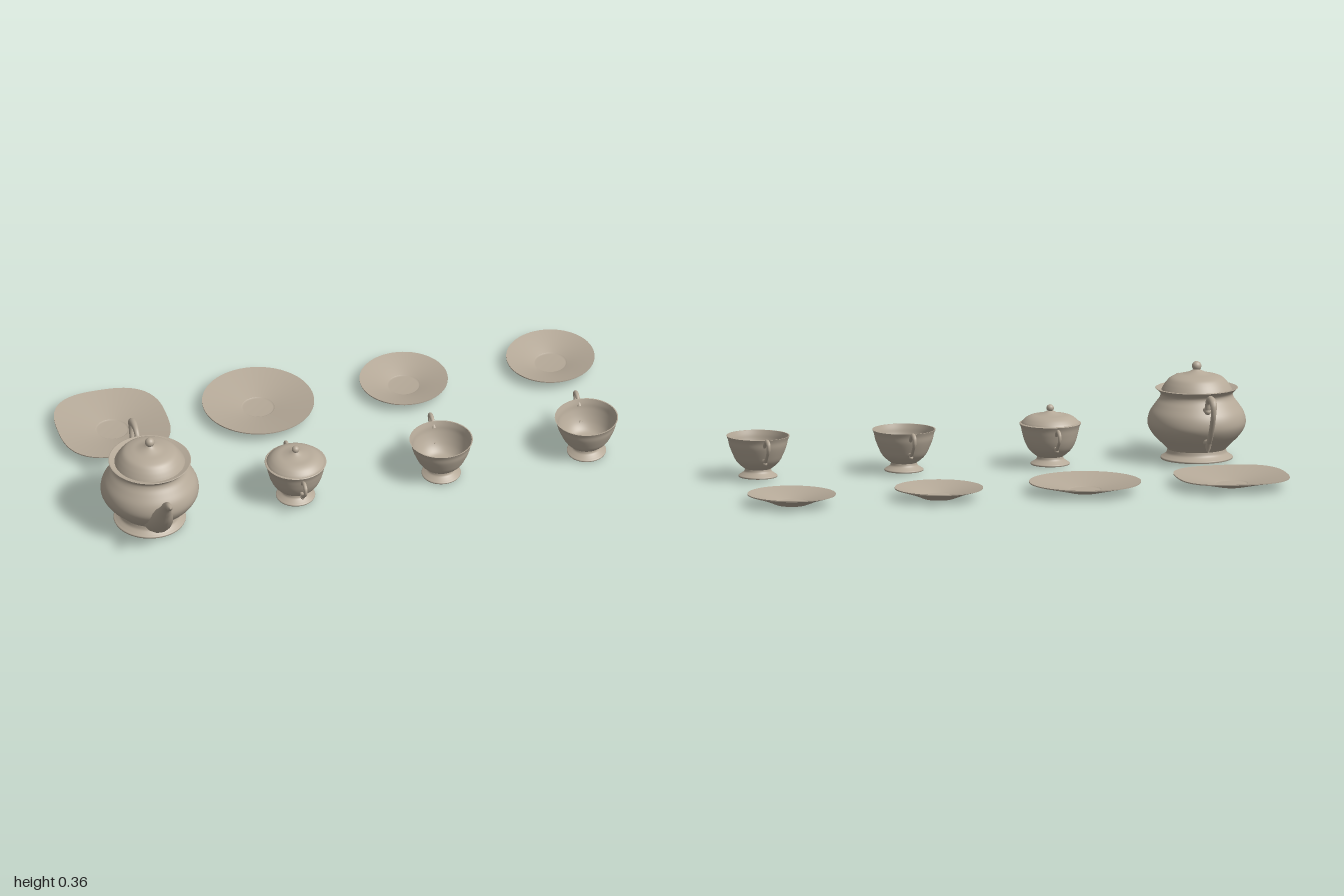
import * as THREE from 'three';

const V2 = (p) => new THREE.Vector2(p[0], p[1]);

export function createModel() {
  const root = new THREE.Group();
  const china = new THREE.MeshStandardMaterial({ color: 0xb5a998 });
  china.name = 'warm grey china';

  const add = (parent, name, geometry, x = 0, y = 0, z = 0) => {
    const mesh = new THREE.Mesh(geometry, china);
    mesh.name = name;
    mesh.position.set(x, y, z);
    parent.add(mesh);
    return mesh;
  };
  const group = (name, x, z) => {
    const g = new THREE.Group();
    g.name = name;
    g.position.set(x, 0, z);
    root.add(g);
    return g;
  };

  // Turned surface; a curved profile is smoothed through its points
  const turn = (points, curved = true) => {
    const list = points.map(V2);
    const profile = curved ? new THREE.SplineCurve(list).getPoints(points.length * 4) : list;
    profile.forEach((p) => { p.x = Math.max(p.x, 0); });
    return new THREE.LatheGeometry(profile, 56);
  };

  // Tapered tube in the z-y plane; each point is [z, y, radius]
  const sweep = (points, squash = 1, steps = 40, sides = 14) => {
    const path = new THREE.CatmullRomCurve3(points.map(([z, y]) => new THREE.Vector3(0, y, z)));
    const radii = new THREE.SplineCurve(points.map((p, i) => new THREE.Vector2(i, p[2])));
    const geo = new THREE.TubeGeometry(path, steps, 1, sides);
    const pos = geo.attributes.position;
    const v = new THREE.Vector3();
    for (let i = 0; i <= steps; i++) {
      const c = path.getPointAt(i / steps);
      const r = radii.getPoint(path.getUtoTmapping(i / steps)).y;
      for (let j = 0; j <= sides; j++) {
        const k = i * (sides + 1) + j;
        v.fromBufferAttribute(pos, k).sub(c).multiplyScalar(Math.max(r, 0.0005));
        v.x *= squash;
        v.add(c);
        pos.setXYZ(k, v.x, v.y, v.z);
      }
    }
    return geo;
  };
  const ball = (r) => new THREE.SphereGeometry(r, 20, 14);

  // Flat plates: centre disc, sloping wall and thin rim
  const plate = (name, x, r, power = 2) => {
    const g = group(name, x, -0.325);
    const sections = {
      base: [[0, 0], [0.056, 0]],
      underside: [[0.056, 0], [r * 0.65, 0.019], [r, 0.036]],
      rim: [[r, 0.036], [r, 0.04]],
      top: [[r, 0.04], [r * 0.65, 0.025], [0.06, 0.01]],
      well: [[0.06, 0.01], [0.054, 0.007], [0, 0.007]],
    };
    for (const [part, points] of Object.entries(sections)) {
      const geo = turn(points, false);
      if (power !== 2) {
        // Bend the outer circle towards a rounded square
        const pos = geo.attributes.position;
        for (let i = 0; i < pos.count; i++) {
          const px = pos.getX(i), pz = pos.getZ(i), d = Math.hypot(px, pz);
          if (d < 0.061) continue;
          const c = Math.abs(px / d), s = Math.abs(pz / d);
          const k = Math.pow(c ** power + s ** power, -1 / power);
          const f = 1 + (k - 1) * (d - 0.06) / (r - 0.06);
          pos.setXYZ(i, px * f, pos.getY(i), pz * f);
        }
      }
      add(g, part, geo);
    }
  };
  plate('squarePlate', -0.797, 0.203, 2.8);
  plate('roundPlate', -0.252, 0.203);
  plate('saucer', 0.292, 0.16);
  plate('saucer', 0.84, 0.16);

  // Teapot
  const pot = group('teapot', -0.797, 0.222);
  add(pot, 'potBase', turn([[0, 0.006], [0.13, 0.006]], false));
  add(pot, 'potFoot', turn([[0.13, 0.006], [0.131, 0.012], [0.122, 0.018], [0.11, 0.028], [0.106, 0.042]]));
  add(pot, 'potBody', turn([[0.106, 0.042], [0.125, 0.062], [0.155, 0.092], [0.174, 0.122], [0.178, 0.148],
    [0.17, 0.178], [0.15, 0.208], [0.134, 0.23], [0.132, 0.247], [0.15, 0.265]]));
  add(pot, 'potCollar', turn([[0.15, 0.265], [0.146, 0.267], [0.13, 0.259], [0.112, 0.258]], false));
  add(pot, 'potLid', turn([[0.128, 0.259], [0.122, 0.27], [0.111, 0.286], [0.095, 0.302], [0.072, 0.311],
    [0.045, 0.317], [0.022, 0.326], [0.01, 0.334]]));
  add(pot, 'potKnob', ball(0.0175), 0, 0.344, 0);
  add(pot, 'potSpout', sweep([[0.06, 0.075, 0.058], [0.12, 0.095, 0.06], [0.165, 0.122, 0.048],
    [0.2, 0.155, 0.034], [0.226, 0.195, 0.024], [0.25, 0.232, 0.018], [0.275, 0.252, 0.013],
    [0.297, 0.257, 0.01], [0.302, 0.258, 0.001]], 0.95));
  add(pot, 'potHandle', sweep([[-0.14, 0.205, 0.012], [-0.172, 0.212, 0.011], [-0.18, 0.24, 0.01],
    [-0.2, 0.256, 0.01], [-0.235, 0.259, 0.013], [-0.264, 0.247, 0.013], [-0.266, 0.215, 0.01],
    [-0.248, 0.17, 0.01], [-0.22, 0.125, 0.01], [-0.19, 0.095, 0.01], [-0.145, 0.09, 0.013]], 1, 64));
  add(pot, 'handleBead', ball(0.012), 0, 0.206, -0.174);
  add(pot, 'handleTail', sweep([[-0.195, 0.1, 0.01], [-0.183, 0.078, 0.01], [-0.176, 0.062, 0.006],
    [-0.174, 0.055, 0.001]], 1, 14));

  // Foot and outer wall shared by the sugar bowl and cups
  const footed = (g, rim) => {
    add(g, 'base', turn([[0, 0.006], [0.07, 0.006]], false));
    add(g, 'foot', turn([[0.07, 0.006], [0.071, 0.011], [0.062, 0.017], [0.05, 0.026], [0.047, 0.036]]));
    add(g, 'outerWall', turn([[0.047, 0.036], [0.062, 0.047], [0.08, 0.066], [0.093, 0.092],
      [rim - 0.011, 0.12], [rim - 0.006, 0.142], [rim, 0.157]]));
  };

  // Sugar bowl with two handles
  const sugar = group('sugarBowl', -0.252, 0.222);
  footed(sugar, 0.112);
  add(sugar, 'rim', turn([[0.112, 0.157], [0.108, 0.16], [0.095, 0.158]], false));
  add(sugar, 'sugarLid', turn([[0.106, 0.158], [0.1, 0.166], [0.086, 0.178], [0.068, 0.186],
    [0.045, 0.19], [0.024, 0.196], [0.008, 0.204]]));
  add(sugar, 'sugarKnob', ball(0.0135), 0, 0.212, 0);
  for (const turnAngle of [0, Math.PI]) {
    const handle = new THREE.Group();
    handle.name = 'sugarHandle';
    handle.rotation.y = turnAngle;
    sugar.add(handle);
    add(handle, 'handleLoop', sweep([[0.098, 0.128, 0.007], [0.112, 0.14, 0.007], [0.13, 0.146, 0.007],
      [0.147, 0.136, 0.007], [0.147, 0.114, 0.006], [0.128, 0.094, 0.006], [0.108, 0.078, 0.007],
      [0.08, 0.078, 0.007]], 1, 36, 10));
    add(handle, 'handleCurl', ball(0.008), 0, 0.071, 0.104);
  }

  // Two open tea cups with a handle at the back
  for (const x of [0.292, 0.835]) {
    const cup = group('teaCup', x, 0.222);
    footed(cup, 0.115);
    add(cup, 'cupRim', turn([[0.115, 0.157], [0.111, 0.157]], false));
    add(cup, 'innerWall', turn([[0.111, 0.157], [0.105, 0.14], [0.1, 0.12], [0.089, 0.092], [0.075, 0.068],
      [0.056, 0.051], [0.03, 0.045], [0, 0.044]]));
    add(cup, 'cupHandle', sweep([[-0.102, 0.132, 0.007], [-0.12, 0.148, 0.007], [-0.142, 0.158, 0.008],
      [-0.163, 0.151, 0.008], [-0.165, 0.13, 0.007], [-0.148, 0.106, 0.006], [-0.122, 0.083, 0.007],
      [-0.08, 0.076, 0.007]], 1, 36, 10));
    add(cup, 'handleCurl', ball(0.008), 0, 0.071, -0.112);
  }
  return root;
}
